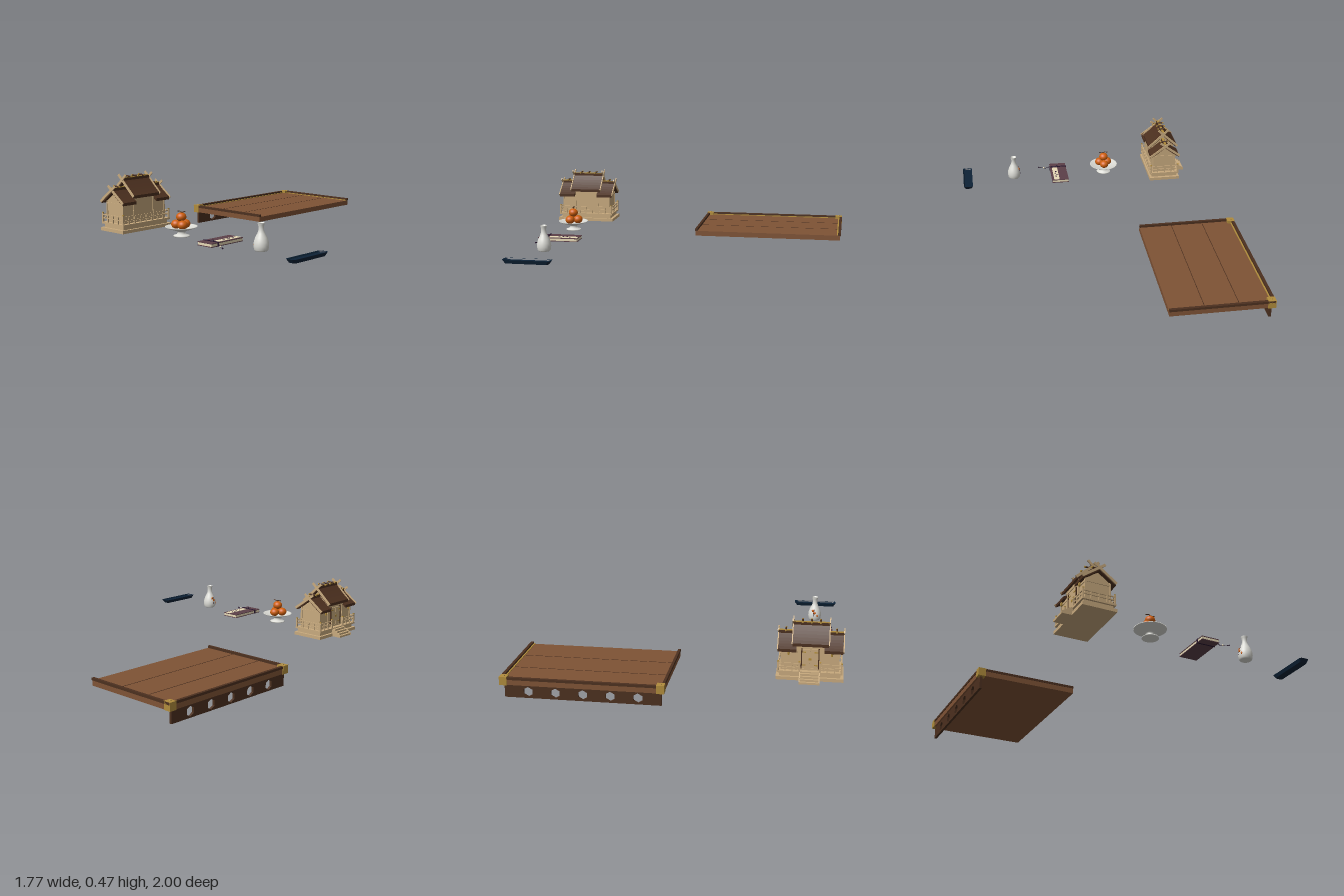
import * as THREE from 'three';

const mat = (name, color, side = THREE.FrontSide) =>
  Object.assign(new THREE.MeshStandardMaterial({ color, side }), { name });

export function createModel() {
  const brown = mat('brown wood', 0x7f5335);
  const dark = mat('dark wood', 0x4c301f);
  const gold = mat('brass', 0xb08c3c);
  const wood = mat('pale wood', 0xc8aa7e);
  const orange = mat('orange', 0xd0600f);
  const white = mat('porcelain', 0xdcdcd6, THREE.DoubleSide);
  const plum = mat('plum cover', 0x5c4048);
  const paper = mat('paper', 0xe9dcb8);
  const navy = mat('navy lacquer', 0x0d2236);
  const ink = mat('ink', 0x28162f);

  const model = new THREE.Group();
  const group = (name, x = 0, y = 0, z = 0) => {
    const g = new THREE.Group();
    g.name = name;
    g.position.set(x, y, z);
    model.add(g);
    return g;
  };
  const add = (g, name, geo, m, x = 0, y = 0, z = 0) => {
    const mesh = new THREE.Mesh(geo, m);
    mesh.name = name;
    mesh.position.set(x, y, z);
    g.add(mesh);
    return mesh;
  };
  // Box given by its min and max on each axis
  const box = (g, name, m, x0, x1, y0, y1, z0, z1) =>
    add(g, name, new THREE.BoxGeometry(x1 - x0, y1 - y0, z1 - z0), m, (x0 + x1) / 2, (y0 + y1) / 2, (z0 + z1) / 2);
  const extrude = (points, depth) => new THREE.ExtrudeGeometry(
    new THREE.Shape(points.map(p => new THREE.Vector2(...p))), { depth, bevelEnabled: false });
  const lathe = (pts, n = 32) => new THREE.LatheGeometry(pts.map(p => new THREE.Vector2(...p)), n);
  const tube = (pts, r) => new THREE.TubeGeometry(
    new THREE.CatmullRomCurve3(pts.map(p => new THREE.Vector3(...p))), 16, r, 6);

  // Shelf
  const shelf = group('shelf');
  box(shelf, 'shelfBoard', brown, -0.88, -0.25, 0.08, 0.113, -0.995, -0.022);
  for (const x of [-0.67, -0.463]) box(shelf, 'plankSeam', dark, x - 0.002, x + 0.002, 0.112, 0.114, -0.98, -0.036);
  box(shelf, 'backRim', dark, -0.88, -0.25, 0.113, 0.128, -1, -0.982);
  box(shelf, 'frontRim', dark, -0.88, -0.25, 0.113, 0.128, -0.036, -0.02);
  box(shelf, 'sideRim', dark, -0.884, -0.866, 0.113, 0.128, -0.995, -0.022);
  box(shelf, 'backTrim', gold, -0.86, -0.25, 0.112, 0.117, -0.982, -0.973);
  box(shelf, 'sideTrim', gold, -0.866, -0.857, 0.112, 0.117, -0.98, -0.036);
  for (const z of [-0.977, -0.041]) {
    box(shelf, 'cornerCap', gold, -0.886, -0.838, 0.079, 0.13, z - 0.023, z + 0.023);
    add(shelf, 'cornerStud', new THREE.CylinderGeometry(0.006, 0.008, 0.006, 12), gold, -0.862, 0.132, z);
  }

  // Hanging apron with hexagonal holes
  const apronShape = new THREE.Shape([[0.036, 0], [0.973, 0], [0.973, 0.08], [0.036, 0.08]].map(p => new THREE.Vector2(...p)));
  for (let i = 0; i < 5; i++) {
    const hex = [];
    for (let k = 0; k < 6; k++) {
      const a = (k + 0.5) * Math.PI / 3;
      hex.push(new THREE.Vector2(0.175 + 0.164 * i + 0.031 * Math.cos(a), 0.038 + 0.031 * Math.sin(a)));
    }
    apronShape.holes.push(new THREE.Path(hex));
  }
  const apron = add(shelf, 'apron', new THREE.ExtrudeGeometry(apronShape, { depth: 0.015, bevelEnabled: false }), dark, -0.869);
  apron.rotation.y = Math.PI / 2;

  // Shrine, with its steps towards -x
  const shrine = group('shrine', -0.547, 0.118, 0.8);
  box(shrine, 'plinth', wood, -0.106, 0.106, 0, 0.02, -0.197, 0.197);
  box(shrine, 'foundation', wood, -0.09, 0.09, 0.02, 0.043, -0.178, 0.178);
  box(shrine, 'veranda', wood, -0.103, 0.103, 0.043, 0.054, -0.19, 0.19);
  for (let i = 0; i < 4; i++) {
    const x = -0.166 + i * 0.015;
    box(shrine, 'step', wood, x, x + 0.016, 0, 0.012 * (i + 1), -0.054, 0.054);
  }
  for (const s of [-1, 1])
    add(shrine, 'stairCheek', extrude([[-0.168, 0], [-0.1, 0], [-0.1, 0.054], [-0.168, 0.014]], 0.006), wood, 0, 0, s * 0.057 - 0.003);

  // Railings, open at the stairs
  const railing = (x0, z0, x1, z1, n) => {
    for (const y of [0.076, 0.097])
      box(shrine, 'rail', wood, Math.min(x0, x1) - 0.003, Math.max(x0, x1) + 0.003, y, y + 0.006, Math.min(z0, z1) - 0.003, Math.max(z0, z1) + 0.003);
    for (let i = 0; i <= n; i++) {
      const x = x0 + (x1 - x0) * i / n, z = z0 + (z1 - z0) * i / n, end = i === 0 || i === n;
      const r = end ? 0.005 : 0.003;
      box(shrine, 'railPost', wood, x - r, x + r, 0.054, end ? 0.11 : 0.098, z - r, z + r);
      if (end) box(shrine, 'postCap', gold, x - r, x + r, 0.11, 0.115, z - r, z + r);
    }
  };
  railing(0.097, -0.184, 0.097, 0.184, 8);
  for (const s of [-1, 1]) {
    railing(-0.097, s * 0.184, 0.097, s * 0.184, 4);
    railing(-0.097, s * 0.06, -0.097, s * 0.184, 3);
  }

  // One hall: gabled walls, curved roof, ridge and crossed gable boards
  const hall = (name, z0, z1, wallZ0, wallZ1, eave, apex, logs, ends) => {
    const w = 0.074;
    add(shrine, name + 'Walls', extrude([[-w, 0.05], [w, 0.05], [w, eave + 0.012], [0, apex - 0.016], [-w, eave + 0.012]], wallZ1 - wallZ0), wood, 0, 0, wallZ0);
    for (const x of [-w, w]) for (const z of [wallZ0, wallZ1])
      box(shrine, 'cornerPost', wood, x - 0.005, x + 0.005, 0.05, eave + 0.01, z - 0.005, z + 0.005);
    for (const y of [0.058, eave - 0.012])
      box(shrine, 'wallBeam', wood, -w - 0.004, w + 0.004, y, y + 0.008, wallZ0 - 0.004, wallZ1 + 0.004);
    const upper = [], lower = [];
    for (let i = -6; i <= 6; i++) {
      const t = Math.abs(i) / 6, y = apex - (apex - eave) * (1.2 * t - 0.2 * t * t);
      upper.push([i / 6 * 0.102, y + 0.008]);
      lower.unshift([i / 6 * 0.102, y - 0.01]);
    }
    add(shrine, name + 'Roof', extrude([...lower, ...upper], z1 - z0), dark, 0, 0, z0);
    box(shrine, 'ridge', dark, -0.011, 0.011, apex, apex + 0.016, z0, z1);
    box(shrine, 'ridgeCap', gold, -0.008, 0.008, apex + 0.016, apex + 0.019, z0, z1);
    for (const z of logs) {
      const log = add(shrine, 'ridgeLog', new THREE.CylinderGeometry(0.005, 0.005, 0.05, 10), dark, 0, apex + 0.023, z);
      log.rotation.z = Math.PI / 2;
      for (const s of [-1, 1]) {
        const tip = add(shrine, 'logTip', new THREE.CylinderGeometry(0.006, 0.006, 0.008, 10), gold, s * 0.027, apex + 0.023, z);
        tip.rotation.z = Math.PI / 2;
      }
    }
    const slope = (apex - eave) / 0.102;
    for (const z of ends) for (const s of [-1, 1]) {
      const x0 = -0.105, x1 = 0.034, len = Math.hypot(x1 - x0, slope * (x1 - x0));
      const board = add(shrine, 'crossedBoard', new THREE.BoxGeometry(len, 0.015, 0.006), wood,
        s * (x0 + x1) / 2, apex + 0.004 + slope * (x0 + x1) / 2, z + s * 0.001);
      board.rotation.z = s * Math.atan(slope);
    }
  };
  hall('mainHall', -0.105, 0.105, -0.078, 0.078, 0.218, 0.311, [-0.052, 0, 0.052], [-0.107, 0.107]);
  hall('leftHall', 0.08, 0.188, 0.08, 0.165, 0.181, 0.256, [0.148], [0.191]);
  hall('rightHall', -0.188, -0.08, -0.165, -0.08, 0.181, 0.256, [-0.148], [-0.191]);

  // Doors and brass fittings above the stairs
  for (const s of [-1, 1]) {
    box(shrine, 'door', wood, -0.081, -0.074, 0.068, 0.185, s > 0 ? 0.001 : -0.046, s > 0 ? 0.046 : -0.001);
    for (const y of [0.085, 0.165]) box(shrine, 'doorHinge', gold, -0.083, -0.08, y, y + 0.006, s * 0.035 - 0.011, s * 0.035 + 0.011);
    box(shrine, 'doorFrame', dark, -0.082, -0.073, 0.066, 0.19, s * 0.05 - 0.003, s * 0.05 + 0.003);
    add(shrine, 'hangingLantern', new THREE.CylinderGeometry(0.007, 0.006, 0.024, 6), gold, -0.093, 0.165, s * 0.125);
    add(shrine, 'lanternCord', new THREE.CylinderGeometry(0.0015, 0.0015, 0.02, 5), dark, -0.093, 0.183, s * 0.125);
  }
  box(shrine, 'doorLock', gold, -0.084, -0.08, 0.12, 0.132, -0.008, 0.008);

  // Footed dish of oranges
  const dish = group('fruitDish', -0.132, 0.118, 0.8);
  add(dish, 'dish', lathe([[0.001, 0.008], [0.042, 0.004], [0.05, 0], [0.049, 0.006], [0.03, 0.012], [0.021, 0.024], [0.028, 0.032],
    [0.06, 0.043], [0.097, 0.057], [0.098, 0.061], [0.092, 0.06], [0.055, 0.048], [0.001, 0.043]], 40), white);
  const fruit = (x, y, z) => {
    const f = add(dish, 'fruit', new THREE.SphereGeometry(0.031, 24, 16), orange, x, y, z);
    f.scale.y = 0.88;
  };
  for (let i = 0; i < 3; i++) {
    const a = -Math.PI / 2 + i * Math.PI * 2 / 3;
    fruit(0.032 * Math.cos(a), 0.073, 0.032 * Math.sin(a));
  }
  fruit(0, 0.118, 0);
  add(dish, 'stem', new THREE.CylinderGeometry(0.002, 0.003, 0.012, 6), dark, 0, 0.147, 0);
  add(dish, 'leaf', tube([[-0.03, 0.151, 0], [-0.012, 0.153, 0.004], [0.01, 0.149, 0], [0.032, 0.155, -0.004]], 0.003), dark);

  // Bound book with label, ribbon and tassel
  const book = group('book', 0.196, 0.118, 0.797);
  box(book, 'pages', paper, -0.055, 0.055, 0.004, 0.019, -0.127, 0.127);
  for (const y of [0, 0.019]) box(book, 'cover', plum, -0.058, 0.058, y, y + 0.004, -0.13, 0.13);
  box(book, 'label', paper, 0.007, 0.045, 0.022, 0.0245, -0.125, 0.06);
  [[-0.08, 0.003], [-0.06, -0.004], [-0.035, 0.004], [-0.01, -0.002]].forEach(([z, dx]) =>
    box(book, 'inkStroke', ink, 0.02 + dx, 0.03 + dx, 0.0235, 0.0255, z, z + 0.011));
  box(book, 'ribbon', ink, -0.06, 0.06, -0.001, 0.026, 0.071, 0.081);
  add(book, 'ribbonKnot', new THREE.SphereGeometry(0.009, 12, 8), ink, 0.01, 0.026, 0.076);
  add(book, 'cord', tube([[0.01, 0.028, 0.076], [0.06, 0.024, 0.08], [0.085, 0.008, 0.095], [0.115, 0.007, 0.108]], 0.0022), ink);
  add(book, 'bead', new THREE.SphereGeometry(0.006, 12, 8), paper, 0.1, 0.008, 0.102);
  const tassel = add(book, 'tassel', new THREE.ConeGeometry(0.005, 0.028, 8), ink, 0.126, 0.006, 0.114);
  tassel.rotation.set(0, -0.5, Math.PI / 2);

  // Bottle with painted fruit on one side
  const bottle = group('bottle', 0.52, 0.118, 0.8);
  add(bottle, 'bottleBody', lathe([[0.001, 0.003], [0.034, 0], [0.041, 0.008], [0.044, 0.03], [0.042, 0.052], [0.034, 0.077], [0.022, 0.1],
    [0.016, 0.118], [0.0155, 0.135], [0.018, 0.15], [0.021, 0.158], [0.019, 0.16], [0.013, 0.146], [0.001, 0.142]]), white);
  [[0.055, 0], [0.035, 0.015], [0.07, -0.011]].forEach(([y, z]) => {
    const spot = add(bottle, 'paintedFruit', new THREE.SphereGeometry(0.009, 12, 8), orange, -Math.sqrt(0.0415 ** 2 - z * z) + (y > 0.06 ? 0.005 : 0), y, z);
    spot.scale.x = 0.35;
  });
  add(bottle, 'paintedTwig', tube([[-0.043, 0.03, -0.008], [-0.0415, 0.055, -0.009], [-0.034, 0.08, 0.002]], 0.0015), ink);

  // Long lacquer tray: rounded outlines stacked into a shallow dish
  const outline = (hw, hl, y) => Array.from({ length: 32 }, (_, i) => {
    const a = (i + 0.5) * Math.PI / 16, c = Math.cos(a), s = Math.sin(a), r = 0.016;
    return [Math.sign(c) * (hw - r) + c * r, y, Math.sign(s) * (hl - r) + s * r];
  });
  const rings = [outline(0.025, 0.132, 0), outline(0.032, 0.147, 0.022), outline(0.029, 0.143, 0.022), outline(0.025, 0.134, 0.014)];
  const pos = rings.flat(2), idx = [], n = 32;
  for (let r = 0; r < 3; r++) for (let i = 0; i < n; i++) {
    const a = r * n + i, b = r * n + (i + 1) % n;
    idx.push(a, a + n, b, b, a + n, b + n);
  }
  for (let i = 1; i < n - 1; i++) idx.push(0, i, i + 1, 3 * n, 3 * n + i + 1, 3 * n + i);
  const trayGeo = new THREE.BufferGeometry();
  trayGeo.setAttribute('position', new THREE.Float32BufferAttribute(pos, 3));
  trayGeo.setIndex(idx);
  const flatTray = trayGeo.toNonIndexed();
  flatTray.computeVertexNormals();
  add(model, 'tray', flatTray, navy, 0.852, 0.118, 0.797);

  return model;
}
